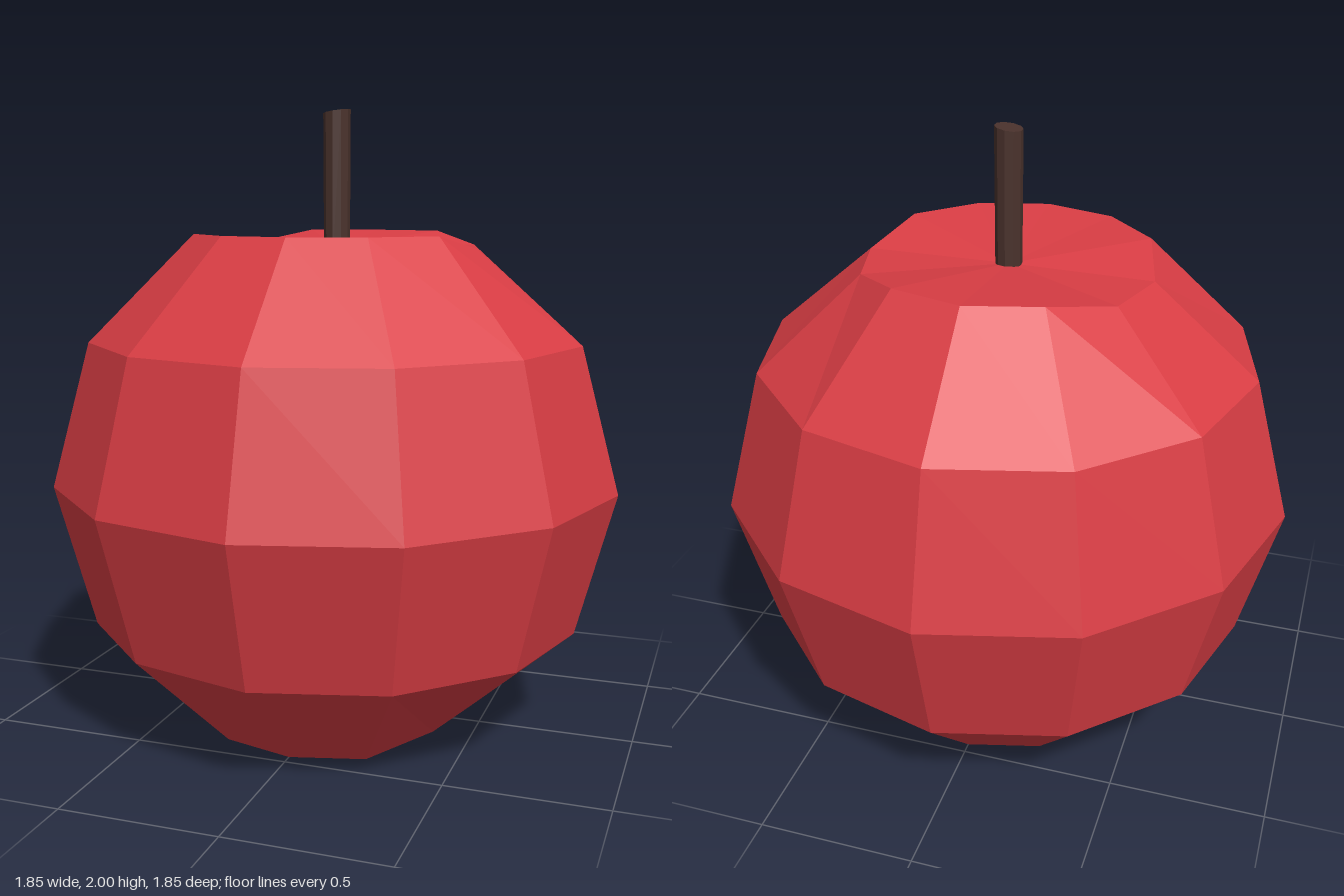
import * as THREE from 'three';

const RADIUS = 0.927;
const CENTRE_Y = 0.806;

// Heading in degrees measured from +z towards +x, rounded to the 30 degree facets
const heading = (x, z) => (Math.round(Math.atan2(x, z) / (Math.PI / 6)) * 30 + 360) % 360;

// Rim corners that sink into the dimples, by heading
const topDents = { 90: 0.045, 120: 0.04, 240: 0.045, 270: 0.05 };
const bottomDents = { 60: 0.045, 90: 0.045, 240: 0.045, 270: 0.05 };

function makeFruit() {
  const geometry = new THREE.SphereGeometry(RADIUS, 12, 6);
  const pos = geometry.attributes.position;
  for (let i = 0; i < pos.count; i++) {
    const x = pos.getX(i), y = pos.getY(i), z = pos.getZ(i);
    const side = Math.sign(y);
    const level = Math.abs(y) / RADIUS;
    if (level > 0.95) {
      // Poles pushed in to make the shallow dimples
      pos.setY(i, side > 0 ? 1.565 - CENTRE_Y : 0.043 - CENTRE_Y);
    } else if (level > 0.8) {
      const dent = (side > 0 ? topDents : bottomDents)[heading(x, z)] || 0;
      pos.setY(i, y - side * dent);
    }
  }
  geometry.translate(0, CENTRE_Y, 0);
  const flat = geometry.toNonIndexed();
  flat.computeVertexNormals();
  return flat;
}

function makeStem() {
  const geometry = new THREE.CylinderGeometry(0.044, 0.042, 0.47, 10);
  geometry.translate(0, 1.76, 0);
  // Slightly slanted cut at the tip
  const pos = geometry.attributes.position;
  for (let i = 0; i < pos.count; i++) {
    if (pos.getY(i) > 1.8) pos.setY(i, 1.994 + pos.getX(i) * 0.14);
  }
  geometry.computeVertexNormals();
  return geometry;
}

export function createModel() {
  const red = new THREE.MeshStandardMaterial({ color: 0xd93d44, flatShading: true });
  red.name = 'apple red';
  const brown = new THREE.MeshStandardMaterial({ color: 0x4a322c, flatShading: true });
  brown.name = 'stem brown';

  const apple = new THREE.Group();
  apple.name = 'apple';

  const fruit = new THREE.Mesh(makeFruit(), red);
  fruit.name = 'fruit';
  const stem = new THREE.Mesh(makeStem(), brown);
  stem.name = 'stem';

  apple.add(fruit, stem);
  return apple;
}
